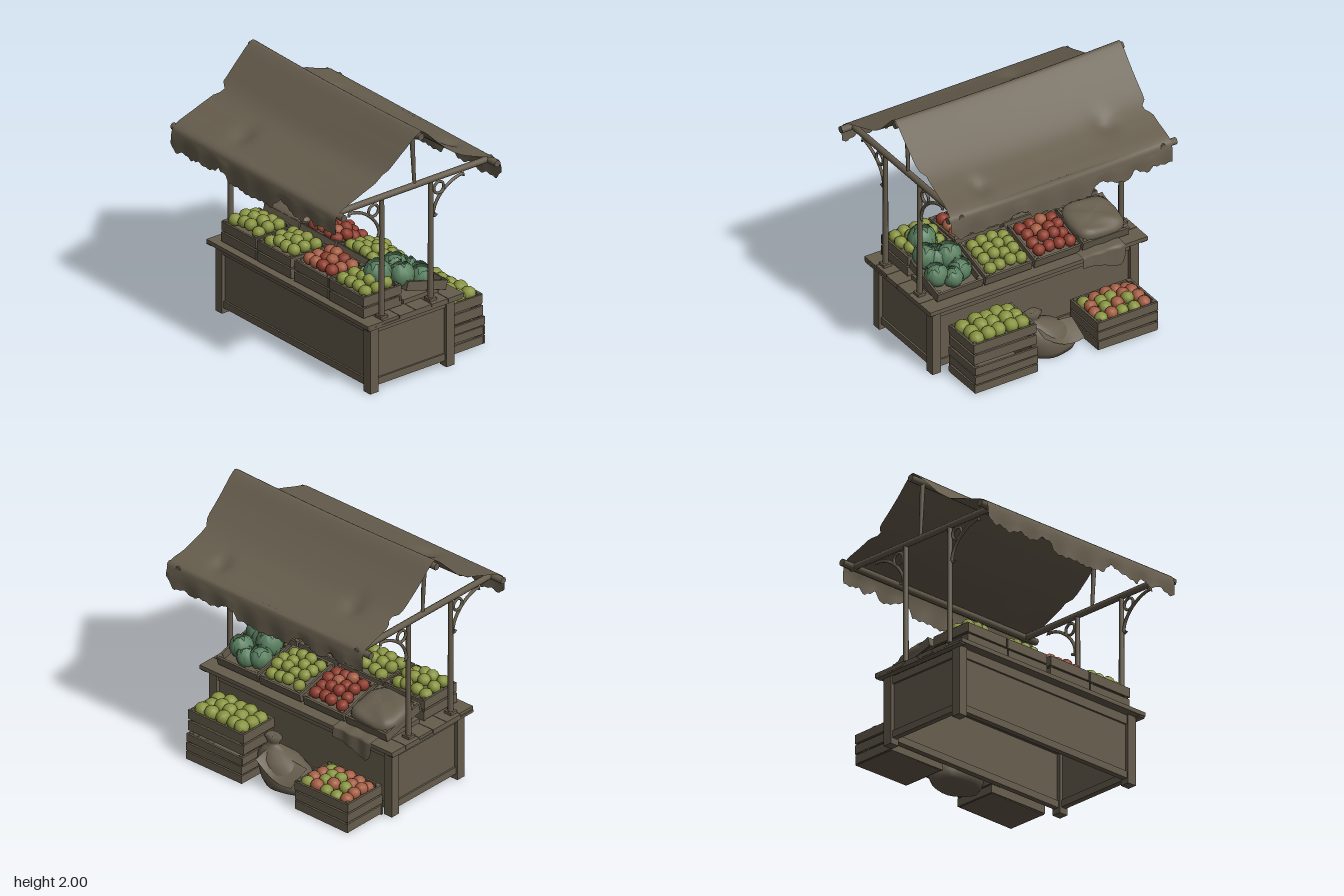
import * as THREE from 'three';

const mat = (name, color, extra = {}) => new THREE.MeshStandardMaterial({ name, color, ...extra });

export function createModel() {
  const wood = mat('wood', 0x655c4c);
  const cloth = mat('cloth', 0x665d4d, { side: THREE.DoubleSide });
  const lime = mat('lime green', 0x87933f);
  const red = mat('apple red', 0x8c3a2b);
  const orange = mat('peach', 0xa35c42);
  const leaf = mat('cabbage green', 0x5a8060, { side: THREE.DoubleSide });

  const root = new THREE.Group();
  root.name = 'marketStall';
  let seed = 7;
  const rnd = () => ((seed = (seed * 16807) % 2147483647) / 2147483647);
  const jit = (a) => (rnd() - 0.5) * 2 * a;

  const group = (name, x = 0, y = 0, z = 0, parent = root) => {
    const g = new THREE.Group();
    g.name = name;
    g.position.set(x, y, z);
    parent.add(g);
    return g;
  };
  const add = (name, geo, m, x, y, z, parent = root) => {
    const mesh = new THREE.Mesh(geo, m);
    mesh.name = name;
    mesh.position.set(x, y, z);
    parent.add(mesh);
    return mesh;
  };
  const box = (name, w, h, d, x, y, z, parent = root) =>
    add(name, new THREE.BoxGeometry(w, h, d), wood, x, y, z, parent);
  const tube = (name, pts, r, parent = root) => add(name, new THREE.TubeGeometry(
    new THREE.CatmullRomCurve3(pts.map((p) => new THREE.Vector3(...p))), 20, r, 7), wood, 0, 0, 0, parent);
  const pole = (name, a, b, r0, r1, parent = root) => {
    const A = new THREE.Vector3(...a), B = new THREE.Vector3(...b), dir = B.clone().sub(A);
    const m = add(name, new THREE.CylinderGeometry(r1, r0, dir.length(), 9), wood, ...A.clone().add(B).multiplyScalar(0.5).toArray(), parent);
    m.quaternion.setFromUnitVectors(new THREE.Vector3(0, 1, 0), dir.normalize());
    return m;
  };
  // Surface grid from a rule f(u, v) -> [x, y, z]
  const sheet = (nu, nv, f) => {
    const g = new THREE.PlaneGeometry(1, 1, nu, nv), p = g.attributes.position;
    for (let j = 0, k = 0; j <= nv; j++) for (let i = 0; i <= nu; i++, k++) p.setXYZ(k, ...f(i / nu, j / nv));
    g.computeVertexNormals();
    return g;
  };
  const lookup = (table, x) => {
    for (let i = 1; i < table.length; i++) {
      const [x0, y0] = table[i - 1], [x1, y1] = table[i];
      if (x <= x1) return y0 + (y1 - y0) * Math.max(0, (x - x0) / (x1 - x0));
    }
    return table[table.length - 1][1];
  };

  // Table: planks, legs, rails and recessed panels
  const table = group('table');
  for (let i = 0; i < 6; i++) {
    box('topPlank', 0.143, 0.032, 1.84 + jit(0.012), -0.387 + i * 0.147, 0.555, 0.005 + jit(0.006), table);
  }
  for (const z of [0.9, -0.89]) box('topBatten', 0.86, 0.02, 0.05, -0.02, 0.538, z, table);
  for (const x of [-0.365, 0.335]) {
    for (const z of [0.845, -0.835]) box('leg', 0.075, 0.54, 0.075, x, 0.27, z, table);
    box('sideUpperRail', 0.05, 0.07, 1.62, x, 0.5, 0.005, table);
    box('sideLowerRail', 0.045, 0.055, 1.62, x, 0.07, 0.005, table);
    box('sidePanel', 0.018, 0.4, 1.62, x, 0.28, 0.005, table);
  }
  for (const z of [0.845, -0.835]) {
    box('endUpperRail', 0.64, 0.06, 0.05, -0.015, 0.5, z, table);
    box('endLowerRail', 0.64, 0.055, 0.045, -0.015, 0.075, z, table);
    box('endPanel', 0.64, 0.4, 0.018, -0.015, 0.28, z, table);
  }

  // Roof frame: posts, beams, king posts and curled brackets at both ends
  for (const z of [0.86, -0.85]) {
    const frame = group('endFrame', 0, 0, z);
    for (const x of [-0.28, 0.17]) {
      pole('post', [x, 0.56, 0], [x, 1.52, 0], 0.022, 0.019, frame);
      box('postFoot', 0.065, 0.025, 0.065, x, 0.58, 0, frame);
    }
    pole('crossBeam', [-0.73, 1.525, 0], [0.73, 1.525, 0], 0.025, 0.025, frame);
    pole('kingPost', [0.02, 1.54, 0], [-0.003, 1.96, 0], 0.013, 0.02, frame);
    for (const s of [-1, 1]) {
      const m = (x, y) => [-0.055 + s * x, y, 0];
      tube('bracketArc', [m(0.28, 1.237), m(0.265, 1.225), m(0.25, 1.235), m(0.262, 1.305), m(0.315, 1.385),
        m(0.405, 1.452), m(0.5, 1.482), m(0.53, 1.478), m(0.525, 1.462)], 0.012, frame);
      add('bracketRing', new THREE.TorusGeometry(0.045, 0.011, 6, 16), wood, -0.055 + s * 0.3, 1.44, 0, frame);
    }
  }
  pole('ridgePole', [0, 1.955, -0.97], [0, 1.955, 0.965], 0.027, 0.027);
  for (const x of [-0.71, 0.7]) pole('eavePole', [x, 1.525, -0.97], [x, 1.525, 0.965], 0.027, 0.027);

  // Canopy: sagging cloth over the ridge with torn ends and ragged hems
  const profile = new THREE.CatmullRomCurve3([[-0.758, 1.38], [-0.755, 1.49], [-0.735, 1.545], [-0.52, 1.635],
    [-0.32, 1.715], [-0.15, 1.87], [-0.04, 1.975], [0, 1.998], [0.04, 1.975], [0.18, 1.84], [0.37, 1.69],
    [0.53, 1.62], [0.715, 1.55], [0.737, 1.49], [0.743, 1.38]].map(([x, y]) => new THREE.Vector3(x, y, 0)));
  const hem = [[-0.95, 1.4], [-0.88, 1.38], [-0.75, 1.41], [-0.7, 1.37], [-0.6, 1.425], [-0.55, 1.36], [-0.45, 1.38],
    [-0.3, 1.43], [-0.24, 1.39], [-0.22, 1.345], [0, 1.335], [0.28, 1.345], [0.31, 1.4], [0.4, 1.42], [0.45, 1.38],
    [0.53, 1.365], [0.62, 1.39], [0.72, 1.355], [0.8, 1.385], [0.88, 1.36], [0.97, 1.46]];
  const backEdge = [[-0.76, -0.935], [-0.36, -0.925], [-0.33, -0.885], [-0.29, -0.89], [-0.27, -0.945], [0, -0.95],
    [0.35, -0.935], [0.38, -0.89], [0.43, -0.89], [0.46, -0.925], [0.74, -0.92]];
  const frontEdge = [[-0.76, 0.925], [-0.36, 0.915], [-0.32, 0.895], [-0.28, 0.92], [0, 0.965], [0.31, 0.96],
    [0.34, 0.92], [0.6, 0.93], [0.74, 0.96]];
  const dent = (x, z, cx, cz, r) => Math.exp(-((x - cx) ** 2 + (z - cz) ** 2) / (r * r));
  add('canopy', sheet(72, 110, (u, v) => {
    const { x, y } = profile.getPoint(u);
    const z0 = lookup(backEdge, x), z = z0 + (lookup(frontEdge, x) - z0) * v;
    let h = y - 0.015 * Math.sin(Math.PI * v) * (Math.abs(x) > 0.7 ? 0 : 1);
    h -= 0.03 * (dent(x, z, 0.55, 0.6, 0.07) + dent(x, z, -0.53, -0.4, 0.09) + dent(x, z, 0.42, -0.55, 0.08));
    const fall = Math.min(1, Math.max(0, (1.5 - y) / 0.12));
    if (fall > 0) h = 1.5 - fall * (1.5 - lookup(hem, x > 0 ? z : -z) - 0.006 * Math.sin(z * 90));
    return [x + fall * 0.008 * Math.sin(z * 23), h, z];
  }), cloth, 0, 0, 0);

  // Slatted crate with open top
  const crate = (name, w, h, d, rows, x, y, z) => {
    const g = group(name, x, y, z), step = h / rows, sh = step * 0.84;
    box('crateFloor', w - 0.02, 0.015, d - 0.02, 0, 0.01, 0, g);
    for (let i = 0; i < rows; i++) {
      const yy = step * (i + 0.5);
      for (const s of [-1, 1]) {
        box('crateSlat', 0.016, sh, d + jit(0.008), s * (w / 2 - 0.008), yy + jit(0.003), 0, g).rotation.x = jit(0.012);
        box('crateEndSlat', w - 0.01 + jit(0.008), sh, 0.016, 0, yy + jit(0.003), s * (d / 2 - 0.008), g).rotation.z = jit(0.012);
      }
    }
    for (const sx of [-1, 1]) for (const sz of [-1, 1]) {
      box('cratePost', 0.025, h - 0.005, 0.025, sx * (w / 2 - 0.026), h / 2, sz * (d / 2 - 0.026), g);
    }
    return g;
  };
  // Fruit heaped in jittered rows over a hidden bed
  const fruitGeo = new THREE.SphereGeometry(1, 10, 7);
  const fill = (g, mats, w, d, y, nx, nz, r = 0.05) => {
    box('crateBed', w - 0.04, 0.015, d - 0.04, 0, y - 0.035, 0, g);
    for (let i = 0; i < nx; i++) for (let j = 0; j < nz; j++) {
      const fx = (i + 0.5) / nx - 0.5, fz = (j + 0.5) / nz - 0.5;
      const f = add('fruit', fruitGeo, mats[Math.floor(rnd() * mats.length)], fx * (w - 0.06) + jit(0.01),
        y + 0.035 * (1 - 3 * (fx * fx + fz * fz)) + jit(0.012), fz * (d - 0.05) + jit(0.01), g);
      f.scale.set(r, r * 0.92, r);
      f.rotation.set(jit(0.5), jit(3), jit(0.5));
    }
  };

  // Level back row of crates on the counter
  [[0.62, [lime]], [0.22, [red, orange]], [-0.2, [lime]], [-0.6, [lime]]].forEach(([z, mats]) =>
    fill(crate('counterCrate', 0.35, 0.175, 0.385, 2, -0.235, 0.575, z), mats, 0.35, 0.385, 0.165, 3, 4));

  // Tilted display crates along the serving side
  const display = [0.63, 0.22, -0.195, -0.605].map((z) => {
    const g = crate('displayCrate', 0.38, 0.085, 0.39, 1, 0.155, 0.628, z);
    g.rotation.z = -0.27;
    box('displaySupport', 0.32, 0.035, 0.34, 0.13, 0.588, z);
    return g;
  });
  fill(display[1], [lime], 0.38, 0.39, 0.085, 4, 4, 0.048);
  fill(display[2], [red, red, red, orange], 0.38, 0.39, 0.085, 4, 4, 0.048);

  // Cabbages: a core wrapped in cupped leaves
  const coreGeo = new THREE.IcosahedronGeometry(1, 2);
  const leafGeo = sheet(6, 6, (u, v) => {
    const a = (u - 0.5) * 1.9 * Math.sin(Math.PI * (0.12 + 0.78 * v)), b = -1 + v * 2.1;
    const r = 1.1 + 0.22 * v * v + 0.05 * Math.sin(u * 15);
    return [r * Math.cos(b) * Math.sin(a), r * Math.sin(b), r * Math.cos(b) * Math.cos(a)];
  });
  [[-0.14, 0.79, 0.64, 0.09], [0.02, 0.76, 0.72, 0.08], [0.08, 0.75, 0.56, 0.085], [0.19, 0.7, 0.73, 0.075],
    [0.2, 0.69, 0.54, 0.075], [0.04, 0.73, 0.64, 0.085], [0.25, 0.68, 0.63, 0.065]].forEach(([x, y, z, r]) => {
    const g = group('cabbage', x, y, z);
    g.scale.setScalar(r);
    g.rotation.set(jit(0.4), jit(3), jit(0.4));
    add('cabbageCore', coreGeo, leaf, 0, 0, 0, g);
    for (let i = 0; i < 5; i++) add('cabbageLeaf', leafGeo, leaf, 0, -0.05, 0, g).rotation.y = i * 1.257;
  });

  // Sack lying on the last display crate, with cloth hanging over the edge
  const pillow = new THREE.SphereGeometry(1, 28, 18), pp = pillow.attributes.position;
  for (let i = 0; i < pp.count; i++) {
    const q = (v, e) => Math.sign(v) * Math.abs(v) ** e;
    const x = q(pp.getX(i), 0.55), z = q(pp.getZ(i), 0.55), y = q(pp.getY(i), 0.8);
    pp.setXYZ(i, x * 0.19, y * 0.075 + 0.006 * Math.sin(x * 7 + z * 4), z * 0.2);
  }
  pillow.computeVertexNormals();
  add('counterSack', pillow, cloth, 0.17, 0.69, -0.605).rotation.z = -0.2;
  const drape = [[-0.72, 0.49], [-0.69, 0.42], [-0.6, 0.43], [-0.54, 0.47], [-0.36, 0.5]];
  add('hangingCloth', sheet(16, 14, (u, v) => {
    const z = -0.72 + 0.36 * u, low = lookup(drape, z);
    if (v < 0.5) return [0.24 + 0.36 * v, 0.6 - 0.04 * v + 0.004 * Math.sin(u * 14), z];
    const t = (v - 0.5) * 2;
    return [0.425 + 0.006 * Math.sin(u * 14) + 0.005 * t, 0.58 + (low - 0.58) * t, z];
  }), cloth, 0, 0, 0);

  // Crates standing on the ground
  crate('groundCrateLower', 0.35, 0.225, 0.53, 3, 0.575, 0, 0.495);
  fill(crate('groundCrateUpper', 0.33, 0.18, 0.53, 2, 0.565, 0.23, 0.495), [lime], 0.33, 0.53, 0.165, 3, 5, 0.058);
  fill(crate('groundCrateBack', 0.37, 0.245, 0.51, 3, 0.565, 0, -0.535), [orange, orange, lime], 0.37, 0.51, 0.215, 4, 5, 0.05);

  // Slumped ground sack with a tied neck and folded flap
  const sack = new THREE.LatheGeometry([[0, 0], [0.19, 0.005], [0.225, 0.06], [0.215, 0.14], [0.17, 0.215], [0.09, 0.26],
    [0.05, 0.285], [0.055, 0.31], [0.075, 0.345], [0.05, 0.365], [0, 0.35]].map(([x, y]) => new THREE.Vector2(x, y)), 24);
  const sp = sack.attributes.position;
  for (let i = 0; i < sp.count; i++) {
    const x = sp.getX(i), y = sp.getY(i), z = sp.getZ(i), a = Math.atan2(z, x), k = 1 + 0.035 * Math.sin(a * 5 + y * 9);
    sp.setXYZ(i, x * k * 0.72, y, z * k + 0.14 * Math.min(1, (y / 0.28) ** 2));
  }
  sack.computeVertexNormals();
  add('groundSack', sack, cloth, 0.52, 0, -0.01);
  add('sackFlap', sheet(8, 8, (u, v) => {
    const z = 0.14 - 0.34 * u, y = 0.265 - 0.06 * u - (0.04 + 0.08 * Math.sin(Math.PI * u * 0.8)) * v;
    return [0.56 + 0.14 * v - 0.03 * (1 - v) * u, y, z];
  }), cloth, 0, 0, 0);

  return root;
}
